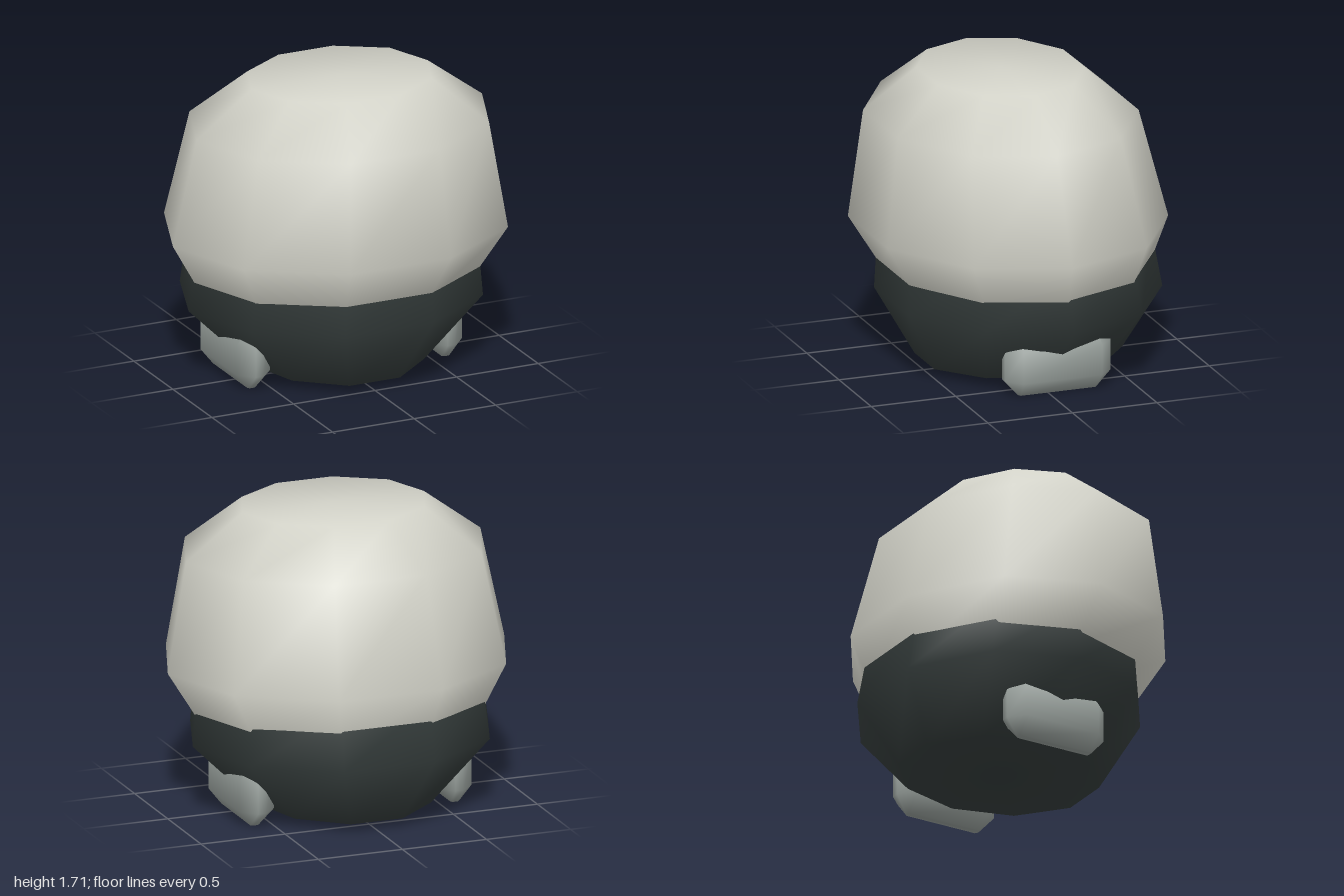
import * as THREE from 'three';

// Ten-sided oval section: half width x, front and back z extents
function oval(y, x, front, back) {
  const mid = (front + back) / 2;
  const rz = (front - back) / 2 / Math.sin(Math.PI * 0.4);
  return Array.from({ length: 10 }, (_, i) => {
    const a = (i * Math.PI) / 5;
    return [x * Math.cos(a), y, mid + rz * Math.sin(a)];
  });
}

// Rectangular section with cut corners
function cutBox(y, x0, x1, z0, z1, c) {
  return [
    [x1, z0 + c], [x1, z1 - c], [x1 - c, z1], [x0 + c, z1],
    [x0, z1 - c], [x0, z0 + c], [x0 + c, z0], [x1 - c, z0],
  ].map(([x, z]) => [x, y, z]);
}

// Skin a stack of sections from bottom to top, with optional flat ends
function loft(rings, capBottom, capTop) {
  const n = rings[0].length;
  const points = rings.flat();
  const index = [];
  for (let r = 0; r < rings.length - 1; r++) {
    for (let i = 0; i < n; i++) {
      const a = r * n + i;
      const b = r * n + ((i + 1) % n);
      index.push(a, a + n, b, b, a + n, b + n);
    }
  }
  const cap = (r, up) => {
    const centre = points.length;
    points.push([0, 1, 2].map((k) => rings[r].reduce((s, p) => s + p[k], 0) / n));
    for (let i = 0; i < n; i++) {
      const a = r * n + i;
      const b = r * n + ((i + 1) % n);
      index.push(centre, up ? b : a, up ? a : b);
    }
  };
  if (capBottom) cap(0, false);
  if (capTop) cap(rings.length - 1, true);
  const geometry = new THREE.BufferGeometry();
  geometry.setAttribute('position', new THREE.Float32BufferAttribute(points.flat(), 3));
  geometry.setIndex(index);
  geometry.computeVertexNormals();
  return geometry;
}

export function createModel() {
  const group = new THREE.Group();
  const add = (name, geometry, color) => {
    const mesh = new THREE.Mesh(geometry, new THREE.MeshStandardMaterial({ color }));
    mesh.name = name;
    group.add(mesh);
  };

  // Pale dome, leaning slightly forward at the top
  add('dome', loft([
    oval(0.54, 0.82, 0.65, -0.737),
    oval(0.84, 1, 0.83, -0.83),
    oval(1.46, 0.875, 0.755, -0.67),
    oval(1.71, 0.54, 0.48, -0.39),
  ], false, true), 0xd2d2c8);

  // Dark bowl, tucked up inside the dome
  add('lowerBody', loft([
    oval(0.05, 0.5, 0.495, -0.615),
    oval(0.42, 0.875, 0.69, -0.81),
    oval(0.75, 0.838, 0.675, -0.75),
  ], true, false), 0x363e3d);

  // Bevelled feet on both sides
  for (const side of [1, -1]) {
    const section = (y, inner, outer, z0, z1, c) =>
      cutBox(y, Math.min(side * inner, side * outer), Math.max(side * inner, side * outer), z0, z1, c);
    add(side > 0 ? 'leftFoot' : 'rightFoot', loft([
      section(0, 0.57, 0.62, -0.29, 0.17, 0.01),
      section(0.09, 0.485, 0.69, -0.375, 0.25, 0.08),
      section(0.265, 0.485, 0.69, -0.375, 0.25, 0.08),
      section(0.35, 0.57, 0.62, -0.29, 0.17, 0.01),
    ], true, true), 0x98a09c);
  }
  return group;
}
